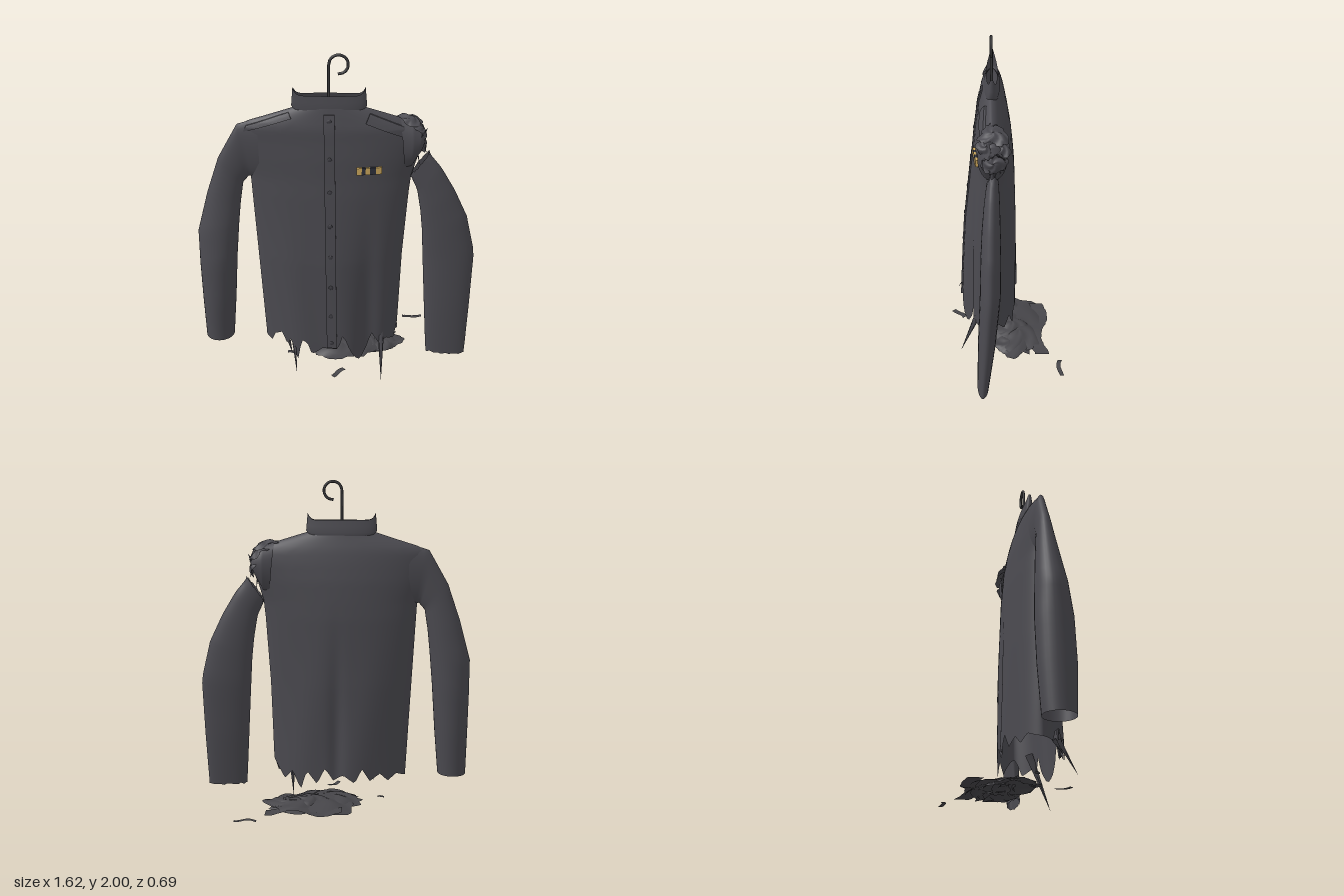
import * as THREE from 'three';
import { toCreasedNormals } from 'three/addons/utils/BufferGeometryUtils.js';

const mat = (name, color) => {
  const m = new THREE.MeshStandardMaterial({ color, side: THREE.DoubleSide });
  m.name = name;
  return m;
};
const hash = (n) => { const s = Math.sin(n * 127.1 + 11.7) * 43758.5453; return s - Math.floor(s); };
const lerp = THREE.MathUtils.lerp;

// Interpolates a table whose rows start with an ascending key
function sample(table, k) {
  if (k <= table[0][0]) return table[0];
  for (let i = 1; i < table.length; i++) {
    const a = table[i - 1], b = table[i];
    if (k <= b[0]) return a.map((v, j) => lerp(v, b[j], (k - a[0]) / (b[0] - a[0])));
  }
  return table[table.length - 1];
}

// Surface of rows x columns, closed around the columns; point(row, angle, column) gives [x, y, z]
function loft(rows, cols, point) {
  const pos = [], idx = [];
  for (let r = 0; r < rows; r++)
    for (let c = 0; c < cols; c++) pos.push(...point(r, c / cols * Math.PI * 2, c));
  for (let r = 0; r < rows - 1; r++)
    for (let c = 0; c < cols; c++) {
      const d = (c + 1) % cols, a = r * cols + c, b = r * cols + d;
      idx.push(a, b, a + cols, b, b + cols, a + cols);
    }
  const g = new THREE.BufferGeometry();
  g.setAttribute('position', new THREE.Float32BufferAttribute(pos, 3));
  g.setIndex(idx);
  g.computeVertexNormals();
  return g;
}

// Torso by height: y, right edge, left edge, seam z, front depth, back depth
const BODY = [
  [0.0, -0.43, 0.36, 0.085, 0.19, 0.17], [0.25, -0.438, 0.37, 0.08, 0.185, 0.16],
  [0.8, -0.465, 0.385, 0.075, 0.158, 0.148], [1.2, -0.485, 0.41, 0.07, 0.12, 0.13],
  [1.3, -0.49, 0.42, 0.068, 0.108, 0.12], [1.42, -0.52, 0.455, 0.066, 0.098, 0.106],
  [1.52, -0.54, 0.485, 0.065, 0.085, 0.088], [1.59, -0.55, 0.48, 0.065, 0.078, 0.073],
  [1.62, -0.5, 0.42, 0.066, 0.068, 0.065], [1.66, -0.37, 0.3, 0.068, 0.055, 0.053],
  [1.705, -0.23, 0.15, 0.07, 0.04, 0.04],
];
// Torn hem: x, y
const HEM_FRONT = [
  [-0.44, 0.22], [-0.4, 0.21], [-0.375, 0.27], [-0.33, 0.3], [-0.3, 0.22], [-0.275, 0.28], [-0.24, 0.12],
  [-0.21, 0.28], [-0.175, 0.26], [-0.15, 0.18], [-0.085, 0.23], [0.01, 0.23], [0.04, 0.33], [0.075, 0.23],
  [0.11, 0.16], [0.145, 0.13], [0.18, 0.2], [0.21, 0.3], [0.26, 0.22], [0.3, 0.25], [0.35, 0.22], [0.37, 0.32],
];
const HEM_BACK = [
  [-0.44, 0.22], [-0.38, 0.25], [-0.33, 0.21], [-0.28, 0.26], [-0.22, 0.22], [-0.17, 0.3], [-0.13, 0.21],
  [-0.06, 0.26], [0.0, 0.22], [0.05, 0.3], [0.1, 0.2], [0.16, 0.28], [0.2, 0.16], [0.25, 0.27], [0.3, 0.21], [0.37, 0.32],
];

function surfaceZ(x, y, front) {
  const [, l, r, cz, df, db] = sample(BODY, y);
  const t = THREE.MathUtils.clamp((x - (l + r) / 2) / ((r - l) / 2), -1, 1);
  const bulge = Math.pow(1 - t * t, 0.65), low = THREE.MathUtils.smoothstep(1.4 - y, 0, 1.1);
  // Soft folds: a valley beside the chest in front, a crease down the back
  const fold = front
    ? -0.028 * low * Math.exp(-(((x - 0.19) / 0.06) ** 2)) + 0.006 * low * Math.sin(x * 22 + y * 2)
    : 0.02 * low * Math.exp(-(((x + 0.02) / 0.04) ** 2)) + 0.006 * low * Math.sin(x * 18 + y * 3);
  return cz + (front ? df : -db) * bulge + fold * bulge;
}

// Plate laid on the torso front; corners are [x, y] as top left, top right, bottom right, bottom left
function plate(corners, height, sx = 8, sy = 4) {
  const g = new THREE.BoxGeometry(1, 1, 1, sx, sy, 1), p = g.attributes.position;
  const [a, b, c, d] = corners;
  for (let i = 0; i < p.count; i++) {
    const u = p.getX(i) + 0.5, v = 0.5 - p.getY(i);
    const x = lerp(lerp(a[0], b[0], u), lerp(d[0], c[0], u), v);
    const y = lerp(lerp(a[1], b[1], u), lerp(d[1], c[1], u), v);
    p.setXYZ(i, x, y, surfaceZ(x, y, true) + (p.getZ(i) > 0 ? height : -0.004));
  }
  return toCreasedNormals(g, 0.7);
}

// Sleeve from sections: inner x, inner y, outer x, outer y, centre z, half depth
function sleeve(sections, tornTop, tornEnd) {
  const steps = 28, cols = 32;
  const table = sections.map((s, i) => [i / (sections.length - 1), ...s]);
  const mirrored = sections[0][0] > 0 ? 1 : -1;
  return loft(steps + 1, cols, (r, a, c) => {
    const [, ix, iy, ox, oy, cz, hd] = sample(table, r / steps);
    const k = (1 - Math.cos(a)) / 2;
    const jag = (r === 0 ? tornTop : r === steps ? tornEnd : 0) * (hash(c) - 0.5);
    return [lerp(ix, ox, k) + mirrored * jag * 0.4, lerp(iy, oy, k) + jag, cz - mirrored * hd * Math.sin(a)];
  });
}

// Crumpled ragged sheet
function scrap(rx, rz, lift, seed) {
  const rings = 7, cols = 36;
  return loft(rings, cols, (r, a, c) => {
    const k = r / (rings - 1), edge = 1 + (r === rings - 1 ? 0.22 : 0.05) * (hash(c + seed) - 0.5);
    const rad = k * edge * (1 + 0.13 * Math.sin(3 * a + seed));
    return [rx * rad * Math.cos(a), lift * (1 - k * k) + 0.009 * Math.sin(a * 4 + k * 7 + seed) * k, -rz * rad * Math.sin(a)];
  });
}

// Wavy torn strip lying flat
function strip(length, width, wave, turns, seed) {
  const g = new THREE.PlaneGeometry(length, width, 24, 3).rotateX(-Math.PI / 2), p = g.attributes.position;
  for (let i = 0; i < p.count; i++) {
    const s = p.getX(i) / length * turns + seed;
    p.setY(i, wave * 0.4 * Math.sin(s * 1.3));
    p.setZ(i, p.getZ(i) + wave * Math.sin(s) + width * 0.1 * (hash(i + seed) - 0.5));
  }
  g.computeVertexNormals();
  return g;
}

export function createModel() {
  const model = new THREE.Group();
  const cloth = mat('charcoal cloth', 0x4b4a50), scrapMat = mat('scrap cloth', 0x464549);
  const metal = mat('dark metal', 0x39393b), buttonMat = mat('button', 0x3f3e44);
  const gold = mat('gold ribbon', 0xcfaa5e), navy = mat('dark ribbon', 0x2f323c);
  const add = (name, geo, m, x = 0, y = 0, z = 0) => {
    const mesh = new THREE.Mesh(geo, m);
    mesh.name = name;
    mesh.position.set(x, y, z);
    model.add(mesh);
    return mesh;
  };
  const tube = (pts, radius) =>
    new THREE.TubeGeometry(new THREE.CatmullRomCurve3(pts.map((p) => new THREE.Vector3(...p))), 40, radius, 8);
  const shard = (name, from, to, radius) => {
    const a = new THREE.Vector3(...from), b = new THREE.Vector3(...to), dir = b.clone().sub(a);
    const mid = a.clone().add(b).multiplyScalar(0.5);
    const m = add(name, new THREE.ConeGeometry(radius, dir.length(), 5), cloth, mid.x, mid.y, mid.z);
    m.quaternion.setFromUnitVectors(new THREE.Vector3(0, 1, 0), dir.normalize());
  };

  // Torso shell, open at the neck and torn at the hem
  const rows = 56;
  add('torso', loft(rows, 144, (r, a) => {
    const front = Math.sin(a) < 0, k = r / (rows - 1), t = Math.cos(a);
    const hem = sample(front ? HEM_FRONT : HEM_BACK, -0.034 + 0.404 * t)[1];
    const y = lerp(1.705, hem, k);
    const [, l, rt] = sample(BODY, y);
    const x = (l + rt) / 2 + (rt - l) / 2 * t;
    return [x, y, surfaceZ(x, y, front)];
  }), cloth);

  // Stand collar with raised side points
  const COLLAR = [[1.772, 0.198, 0.03], [1.735, 0.204, 0.037], [1.7, 0.207, 0.044], [1.683, 0.195, 0.043]];
  add('collar', loft(4, 64, (r, a) => {
    const [y, w, d] = COLLAR[r], t = Math.cos(a), s = Math.sin(a);
    const tip = (r === 0 ? 0.042 : 0.012) * Math.pow(Math.abs(t), 14);
    return [-0.043 + w * t, y + tip, 0.066 - d * Math.sign(s) * Math.pow(Math.abs(s), 0.7)];
  }), cloth);

  // Sleeves: one whole, one torn loose and hanging lower
  add('rightSleeve', sleeve([
    [-0.43, 1.27, -0.44, 1.635, 0.066, 0.05], [-0.5, 1.29, -0.555, 1.6, 0.066, 0.036],
    [-0.535, 1.25, -0.67, 1.4, 0.066, 0.042], [-0.555, 1.13, -0.745, 1.185, 0.07, 0.062],
    [-0.57, 1.0, -0.812, 0.945, 0.08, 0.085], [-0.59, 0.79, -0.814, 0.74, 0.09, 0.102],
    [-0.612, 0.5, -0.812, 0.5, 0.097, 0.102], [-0.637, 0.23, -0.808, 0.23, 0.1, 0.088],
  ], 0, 0), cloth);
  add('looseLeftSleeve', sleeve([
    [0.415, 1.3, 0.515, 1.435, 0.065, 0.032], [0.458, 1.21, 0.59, 1.345, 0.07, 0.042],
    [0.482, 1.08, 0.672, 1.21, 0.075, 0.05], [0.497, 0.95, 0.752, 1.045, 0.078, 0.055],
    [0.508, 0.78, 0.81, 0.81, 0.082, 0.057], [0.53, 0.45, 0.803, 0.45, 0.105, 0.05],
    [0.552, 0.132, 0.792, 0.12, 0.13, 0.034],
  ], 0.03, 0.012), cloth);

  // Ragged armhole stub with crumpled folds and loose threads
  add('tornArmhole', sleeve([
    [0.38, 1.34, 0.35, 1.64, 0.066, 0.07], [0.42, 1.36, 0.42, 1.625, 0.066, 0.078],
    [0.44, 1.4, 0.475, 1.6, 0.064, 0.07], [0.455, 1.43, 0.495, 1.555, 0.062, 0.062],
  ], 0, 0.05), cloth);
  [[0.405, 1.62, 0.06, 0.075, 0.075, -0.35], [0.45, 1.58, 0.095, 0.055, 0.05, -0.9], [0.465, 1.5, 0.06, 0.06, 0.07, -1.3],
    [0.44, 1.57, 0.015, 0.06, 0.045, -0.6]].forEach(([x, y, z, rx, rz, tilt], i) => {
    add('tornShoulderFold', scrap(rx, rz, 0.032, 5 + i * 2), cloth, x, y, z).rotation.z = tilt;
  });
  shard('armholeThread', [0.475, 1.52, 0.09], [0.505, 1.42, 0.075], 0.006);
  shard('armholeThread', [0.45, 1.44, 0.05], [0.465, 1.36, 0.06], 0.006);

  // Shoulder boards
  add('rightShoulderBoard', plate([[-0.5, 1.6], [-0.265, 1.68], [-0.25, 1.65], [-0.52, 1.565]], 0.009, 20, 8), cloth);
  add('leftShoulderBoard', plate([[0.18, 1.677], [0.455, 1.57], [0.435, 1.52], [0.158, 1.627]], 0.012, 20, 8), cloth);

  // Button placket and buttons
  add('placket', plate([[-0.072, 1.675], [-0.012, 1.675], [0.002, 0.24], [-0.058, 0.24]], 0.009, 2, 40), cloth);
  for (const y of [1.64, 1.43, 1.24, 1.04, 0.85, 0.655, 0.46, 0.275]) {
    const x = lerp(-0.028, -0.042, y / 1.7);
    const b = add('button', new THREE.SphereGeometry(0.013, 14, 8), buttonMat, x, y, surfaceZ(x, y, true) + 0.008);
    b.scale.z = 0.35;
  }

  // Ribbon bar on the chest
  const stops = [0.108, 0.138, 0.16, 0.184, 0.218, 0.25];
  for (let i = 0; i < 5; i++) {
    const x0 = stops[i], x1 = stops[i + 1];
    add('ribbonBar', plate([[x0, 1.382], [x1, 1.382], [x1, 1.343], [x0, 1.343]], 0.0145, 1, 1), i % 2 ? navy : gold);
  }

  // Hanger: hook, and arms within the shoulders
  const hook = [[-0.045, 1.66, 0.068], [-0.045, 1.8, 0.068], [-0.045, 1.92, 0.068]];
  for (let i = 0; i <= 8; i++) {
    const a = Math.PI * (1 - i * 0.19);
    hook.push([0.008 + 0.052 * Math.cos(a), 1.94 + 0.052 * Math.sin(a), 0.068]);
  }
  add('hangerHook', tube(hook, 0.008), metal);
  add('hangerArms', tube([[-0.45, 1.55, 0.068], [-0.2, 1.645, 0.068], [-0.045, 1.67, 0.068], [0.13, 1.645, 0.068], [0.42, 1.54, 0.068]], 0.007), metal);

  // Long shreds hanging from the hem
  shard('hemShred', [0.27, 0.33, 0.15], [0.273, 0.0, 0.275], 0.024);
  shard('hemShred', [-0.26, 0.26, 0.2], [-0.24, 0.08, 0.31], 0.015);
  shard('hemShred', [-0.3, 0.25, 0.17], [-0.27, 0.17, 0.23], 0.014);

  // Heap of scraps below
  [[0.12, 0.073, -0.05, 0.26, 0.17, 0.035], [0.2, 0.078, -0.09, 0.19, 0.12, 0.03], [0.03, 0.073, 0.02, 0.2, 0.13, 0.03],
    [0.14, 0.085, -0.05, 0.12, 0.1, 0.035], [0.28, 0.072, -0.03, 0.13, 0.1, 0.02]].forEach(([x, y, z, rx, rz, h], i) =>
    add('scrapHeap', scrap(rx, rz, h, i * 3 + 1), scrapMat, x, y, z));
  add('tornStrip', strip(0.45, 0.085, 0.024, 7.5, 0.4), scrapMat, 0.17, 0.085, -0.21);
  add('smallStrip', strip(0.13, 0.025, 0.008, 5, 2), scrapMat, 0.5, 0.07, -0.33);
  add('smallStrip', strip(0.1, 0.03, 0.01, 4, 4), scrapMat, 0.01, 0.07, 0.29).rotation.y = 0.7;
  add('smallStrip', strip(0.04, 0.025, 0.004, 4, 6), scrapMat, -0.29, 0.07, 0.08);
  return model;
}
